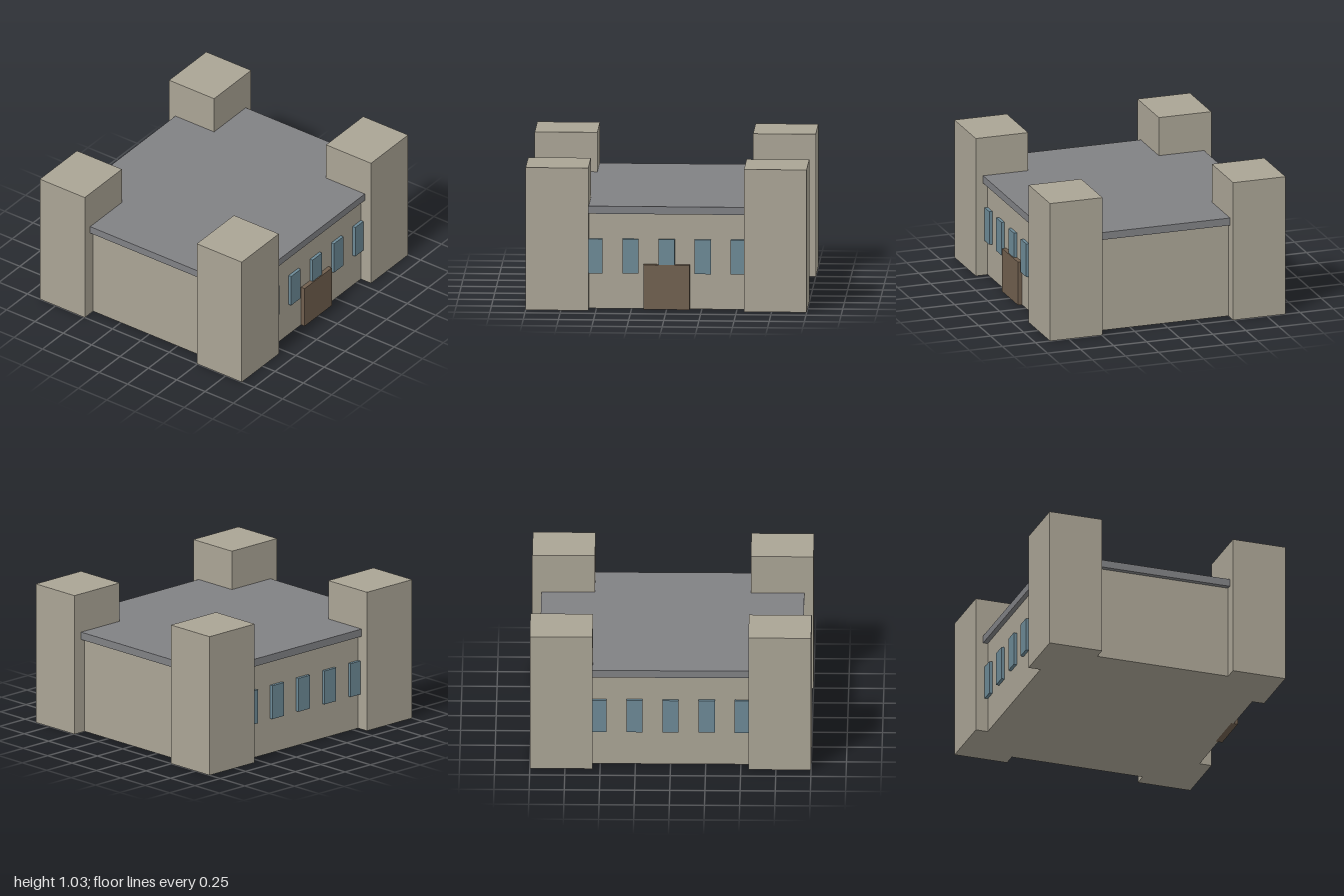
import * as THREE from 'three';

export function createModel() {
  const model = new THREE.Group();
  model.name = 'fort';
  const material = (name, color) => {
    const m = new THREE.MeshStandardMaterial({ color });
    m.name = name;
    return m;
  };
  const stone = material('stone', 0xaaa495);
  const slate = material('slate', 0x808184);
  const glass = material('glass', 0x6c8996);
  const wood = material('wood', 0x705f4e);

  // Box given by its size, centre in x and z, and base height
  const box = (name, mat, [w, h, d], x, base, z) => {
    const mesh = new THREE.Mesh(new THREE.BoxGeometry(w, h, d), mat);
    mesh.name = name;
    mesh.position.set(x, base + h / 2, z);
    model.add(mesh);
  };

  // Main hall and overhanging flat roof
  box('hall', stone, [1.8, 0.69, 1.6], 0, 0, 0);
  box('roof', slate, [1.87, 0.055, 1.67], 0, 0.69, 0);

  // Corner towers
  for (const sx of [-1, 1]) {
    for (const sz of [-1, 1]) {
      box('tower', stone, [0.446, 1.03, 0.396], sx * 0.777, 0, sz * 0.692);
    }
  }

  // Five windows on the front and back walls
  for (const side of [-1, 1]) {
    for (let i = -2; i <= 2; i++) {
      box('window', glass, [0.115, 0.248, 0.04], i * 0.257, 0.257, side * 0.803);
    }
  }

  // Front door
  box('door', wood, [0.328, 0.322, 0.05], 0, 0, 0.806);

  return model;
}
